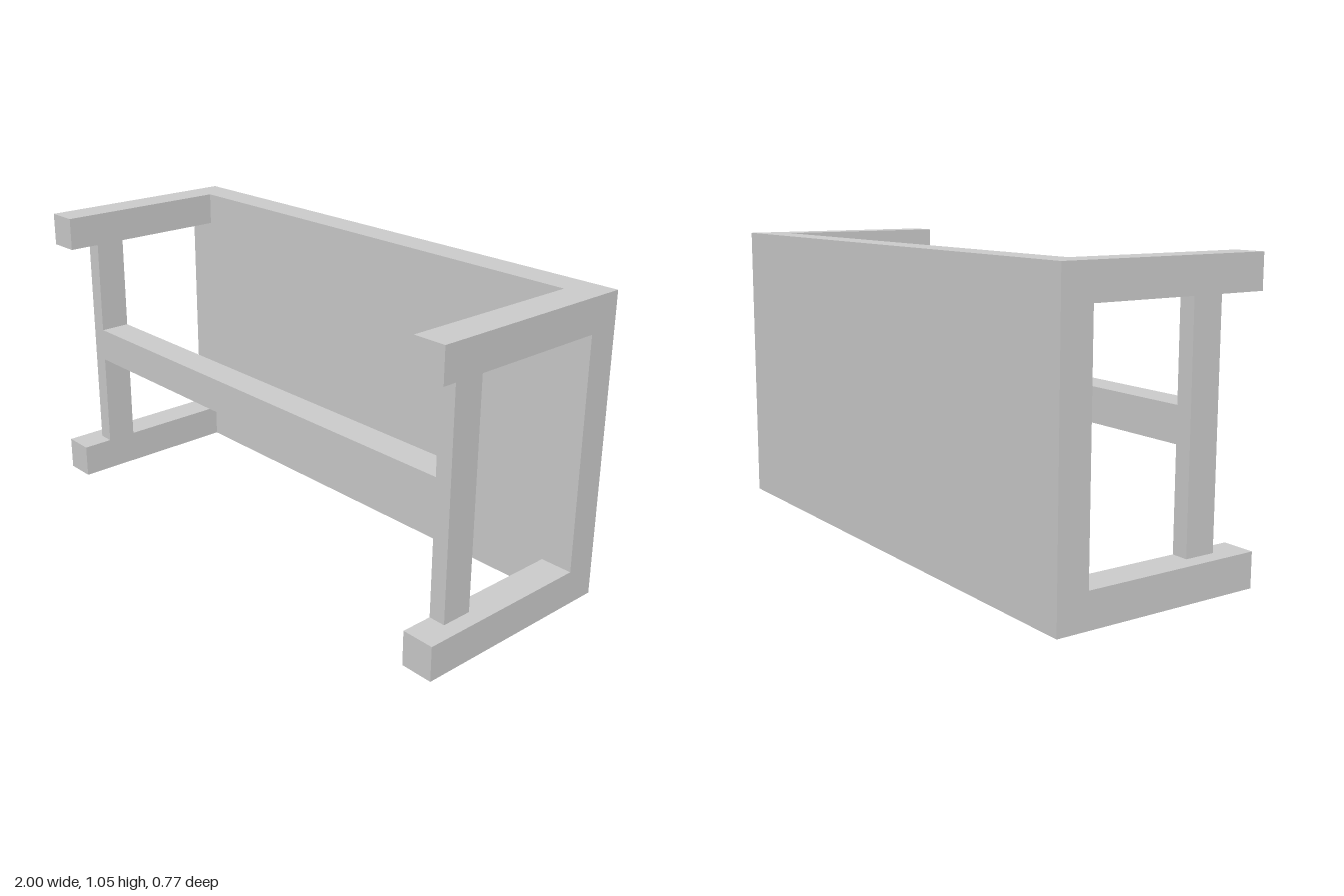
import * as THREE from 'three';

const material = new THREE.MeshStandardMaterial({ color: 0xcccccc });

// Overall extents and the edges shared between parts
const W = 1, H = 1.05, D = 0.383;
const ARM_IN = 0.885, POST_OUT = 0.944;
const PANEL_FRONT = -0.27, POST_BACK = 0.158, POST_FRONT = 0.27;
const FOOT_TOP = 0.12, ARM_BOTTOM = 0.932;

// Box given by its minimum and maximum on each axis
function beam(name, [x0, x1], [y0, y1], [z0, z1]) {
  const mesh = new THREE.Mesh(new THREE.BoxGeometry(x1 - x0, y1 - y0, z1 - z0), material);
  mesh.position.set((x0 + x1) / 2, (y0 + y1) / 2, (z0 + z1) / 2);
  mesh.name = name;
  return mesh;
}

export function createModel() {
  const model = new THREE.Group();
  model.name = 'barrierFrame';

  // Solid slab along the back
  model.add(beam('backPanel', [-W, W], [0, H], [-D, PANEL_FRONT]));

  // Each end: foot and arm reaching forward, joined by a post on the inner half
  for (const [side, s] of [['left', 1], ['right', -1]]) {
    const end = new THREE.Group();
    end.name = side + 'End';
    const span = (a, b) => (s > 0 ? [a, b] : [-b, -a]);
    end.add(
      beam(side + 'Foot', span(ARM_IN, W), [0, FOOT_TOP], [PANEL_FRONT, D]),
      beam(side + 'Arm', span(ARM_IN, W), [ARM_BOTTOM, H], [PANEL_FRONT, D]),
      beam(side + 'Post', span(ARM_IN, POST_OUT), [FOOT_TOP, ARM_BOTTOM], [POST_BACK, POST_FRONT])
    );
    model.add(end);
  }

  // Rail between the posts, flush with them
  model.add(beam('crossRail', [-ARM_IN, ARM_IN], [0.468, 0.59], [POST_BACK, POST_FRONT]));

  return model;
}
